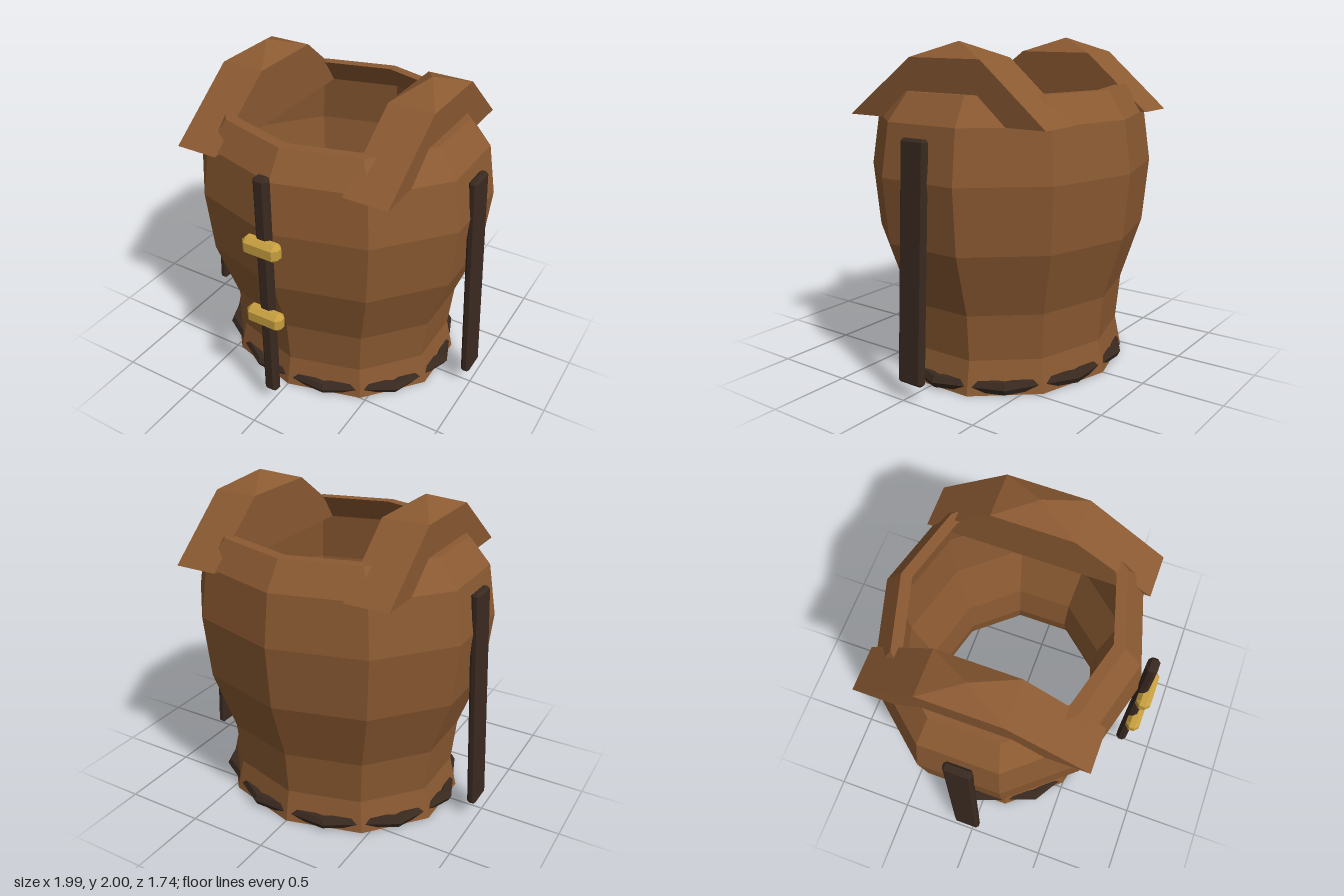
import * as THREE from 'three';
import { ConvexGeometry } from 'three/addons/geometries/ConvexGeometry.js';

const DEPTH = 0.86; // body depth relative to its width
const Z0 = -0.05; // body centre in z

function material(name, color) {
  const m = new THREE.MeshStandardMaterial({ color, flatShading: true });
  m.name = name;
  return m;
}

// Box with cut edges
function chamferBox(w, h, d, c) {
  const pts = [];
  for (const sx of [-1, 1]) for (const sy of [-1, 1]) for (const sz of [-1, 1]) {
    const x = w / 2, y = h / 2, z = d / 2;
    pts.push(
      new THREE.Vector3(sx * x, sy * (y - c), sz * (z - c)),
      new THREE.Vector3(sx * (x - c), sy * y, sz * (z - c)),
      new THREE.Vector3(sx * (x - c), sy * (y - c), sz * z));
  }
  return new ConvexGeometry(pts);
}

export function createModel() {
  const group = new THREE.Group();
  const leather = material('brown leather', 0x8b5a32);
  const dark = material('dark leather', 0x3a2a20);
  const brass = material('brass', 0xc9a040);

  function add(name, geometry, mat, x = 0, y = 0, z = 0) {
    const mesh = new THREE.Mesh(geometry, mat);
    mesh.name = name;
    mesh.position.set(x, y, z);
    group.add(mesh);
    return mesh;
  }

  // Ten-sided hollow body: outer wall up, inner wall down
  const wall = [[0.79, 0], [0.745, 0.2], [0.775, 0.48], [0.915, 0.86],
    [0.955, 1.25], [0.905, 1.56], [0.775, 1.72]];
  const inner = wall.map(([r, y]) => [r - 0.08, y]).reverse();
  const profile = [...wall, ...inner, wall[0]].map(([r, y]) => new THREE.Vector2(r, y));
  const body = new THREE.LatheGeometry(profile, 10);
  body.scale(1, 1, DEPTH);
  add('body', body, leather, 0, 0, Z0);

  // Hem ring, its corners showing through the middle of each body panel
  const hem = new THREE.TorusGeometry(0.77, 0.04, 6, 10);
  hem.rotateX(Math.PI / 2);
  hem.scale(1, 1, DEPTH);
  add('hem', hem, dark, 0, 0.05, Z0);

  for (const side of [-1, 1]) {
    const label = side > 0 ? 'left' : 'right';

    // Shoulder piece: sloping block with a pyramid top
    const pts = [new THREE.Vector3(side * 0.56, 2, -0.08)];
    for (const [x, y, z] of [[0.42, 1.56, 0.655], [0.69, 1.56, 0.655], [0.42, 1.56, -0.745],
      [0.69, 1.56, -0.745], [0.42, 1.91, 0.17], [0.7, 1.91, 0.17],
      [0.42, 1.91, -0.33], [0.7, 1.91, -0.33]]) {
      pts.push(new THREE.Vector3(side * x, y, z));
    }
    add(label + 'Shoulder', new ConvexGeometry(pts), leather);

    // Side strap, leaning outwards at the bottom
    const strap = add(label + 'SideStrap', chamferBox(0.055, 1.39, 0.175, 0.015), dark,
      side * 0.935, 0.795, -0.04);
    strap.rotation.z = side * 0.05;
  }

  // Front strap with two buckles
  add('frontStrap', chamferBox(0.09, 1.53, 0.07, 0.02), dark, 0, 0.865, 0.79);
  for (const y of [0.695, 1.185]) {
    add('buckle', chamferBox(0.24, 0.115, 0.09, 0.027), brass, 0, y, 0.82);
  }
  return group;
}
